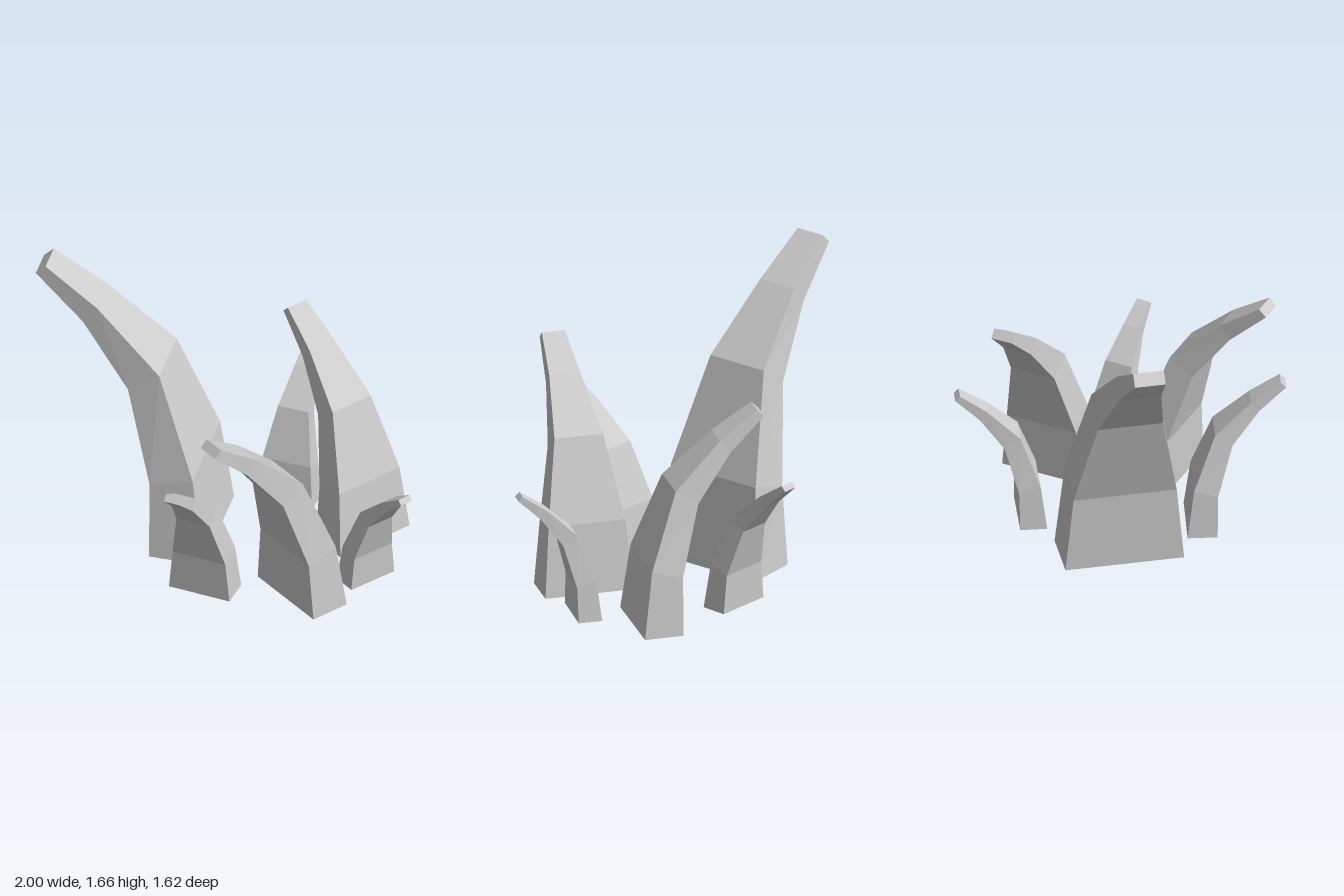
import * as THREE from 'three';

// Horn sections from base to tip: outer edge (z, y), inner edge (z, y), width
const SECTIONS = [
  [0, 0, 0.30, 0, 0.655],
  [0.067, 0.52, 0.308, 0.45, 0.57],
  [0.282, 1.11, 0.458, 0.99, 0.36],
  [0.647, 1.45, 0.73, 1.35, 0.23],
  [0.946, 1.655, 1.0, 1.60, 0.17],
];

// Name, outer base midpoint x, y, z, bend direction x, z, scale
const HORNS = [
  ['tallBackRightHorn', -0.04, 0.01, -0.155, -0.93, -0.366, 1],
  ['frontMiddleHorn', 0.45, 0, 0.365, -0.856, 0.517, 0.757],
  ['backLeftHorn', 0.7925, 0.005, 0.03, -0.525, -0.85, 0.725],
  ['frontRightHorn', -0.125, 0, 0.2525, -0.49, 0.87, 0.543],
  ['smallFrontLeftHorn', 0.675, 0.005, 0.27, 0.5, 0.865, 0.441],
  ['smallBackHorn', 0.342, 0.01, -0.357, 0.453, -0.891, 0.488],
];

// Four-sided tapering horn that bends toward +z
function hornGeometry() {
  const rings = SECTIONS.map(([oz, oy, iz, iy, w]) => [
    [-w / 2, oy, oz], [w / 2, oy, oz], [w / 2, iy, iz], [-w / 2, iy, iz],
  ]);
  const positions = [];
  const quad = (a, b, c, d) => positions.push(...a, ...b, ...c, ...a, ...c, ...d);
  for (let r = 0; r < rings.length - 1; r++) {
    const low = rings[r], high = rings[r + 1];
    for (let i = 0; i < 4; i++) {
      const j = (i + 1) % 4;
      quad(low[j], low[i], high[i], high[j]);
    }
  }
  quad(...rings[0]); // base cap
  quad(...[...rings[rings.length - 1]].reverse()); // tip cap
  const geometry = new THREE.BufferGeometry();
  geometry.setAttribute('position', new THREE.Float32BufferAttribute(positions, 3));
  geometry.computeVertexNormals();
  return geometry;
}

export function createModel() {
  const group = new THREE.Group();
  group.name = 'hornCluster';
  const geometry = hornGeometry();
  const material = new THREE.MeshStandardMaterial({ color: 0xcccccc, flatShading: true });
  for (const [name, x, y, z, dx, dz, scale] of HORNS) {
    const horn = new THREE.Mesh(geometry, material);
    horn.name = name;
    horn.position.set(x, y, z);
    horn.rotation.y = Math.atan2(dx, dz);
    horn.scale.setScalar(scale);
    group.add(horn);
  }
  return group;
}
